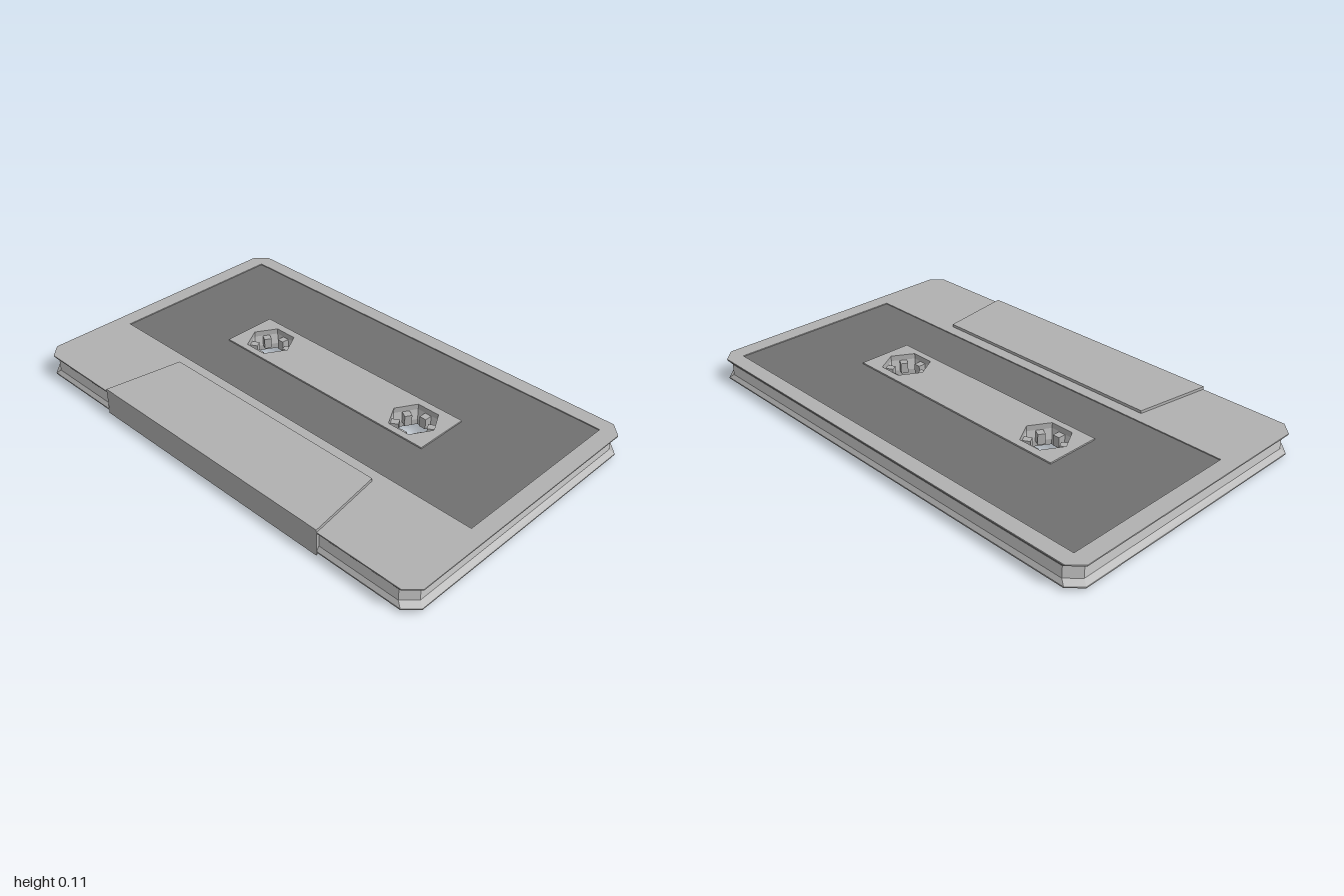
import * as THREE from 'three';

const HUB_X = 0.395, HUB_Z = -0.1, HUB_R = 0.1;
const MID_Y = 0.057; // middle of the thickness

const shellMat = new THREE.MeshStandardMaterial({ color: 0xb0b0b0, flatShading: true });
const wallMat = new THREE.MeshStandardMaterial({ color: 0xcccccc, flatShading: true });
const labelMat = new THREE.MeshStandardMaterial({ color: 0x707070, flatShading: true });

// Outlines are lists of [x, z], counter-clockwise seen from above
const rect = (x, zBack, zFront) => [[-x, zFront], [x, zFront], [x, zBack], [-x, zBack]];
const octagon = (s) => [
  [-0.95, 0.605], [0.95, 0.605], [1, 0.555], [1, -0.555],
  [0.95, -0.605], [-0.95, -0.605], [-1, -0.555], [-1, 0.555],
].map(([x, z]) => [x * s, z * s]);
const hexagon = (cx) => Array.from({ length: 6 }, (_, i) => {
  const a = i * Math.PI / 3;
  return [cx + HUB_R * Math.cos(a), HUB_Z - HUB_R * Math.sin(a)];
});
const hubHoles = [hexagon(-HUB_X), hexagon(HUB_X)];
const toPoints = (outline) => outline.map(([x, z]) => new THREE.Vector2(x, -z));

function mesh(name, geometry, material) {
  const m = new THREE.Mesh(geometry, material);
  m.name = name;
  return m;
}

// Horizontal plate with optional holes, from y0 to y1
function plate(name, outline, holes, y0, y1, material) {
  const shape = new THREE.Shape(toPoints(outline));
  holes.forEach((h) => shape.holes.push(new THREE.Path(toPoints(h))));
  const g = new THREE.ExtrudeGeometry(shape, { depth: y1 - y0, bevelEnabled: false });
  g.rotateX(-Math.PI / 2);
  g.translate(0, y0, 0);
  return mesh(name, g, material);
}

// Sloping band joining two outlines
function band(name, low, y0, high, y1, material) {
  const pos = [];
  low.forEach((p, i) => {
    const j = (i + 1) % low.length;
    const a = [p[0], y0, p[1]], b = [low[j][0], y0, low[j][1]];
    const c = [high[j][0], y1, high[j][1]], d = [high[i][0], y1, high[i][1]];
    pos.push(...a, ...b, ...c, ...a, ...c, ...d);
  });
  const g = new THREE.BufferGeometry();
  g.setAttribute('position', new THREE.Float32BufferAttribute(pos, 3));
  g.computeVertexNormals();
  return mesh(name, g, material);
}

// One face of the shell: flared rim, recessed label, raised window
function shellHalf(name) {
  const half = new THREE.Group();
  half.name = name;
  const labelArea = rect(0.93, -0.54, 0.23);
  const windowArea = rect(0.53, -0.22, 0.015);
  half.add(
    band('rimSlope', octagon(0.98), 0.081, octagon(1), 0.097, shellMat),
    plate('rim', octagon(1), [labelArea], 0.097, 0.102, shellMat),
    plate('label', labelArea, [windowArea], 0.081, 0.098, labelMat),
    plate('window', windowArea, hubHoles, 0.081, 0.104, shellMat),
  );
  return half;
}

// Six drive teeth around a hub hole
function hubTeeth(name, cx) {
  const hub = new THREE.Group();
  hub.name = name;
  hub.position.set(cx, MID_Y, HUB_Z);
  const inner = HUB_R * Math.cos(Math.PI / 6);
  for (let i = 0; i < 6; i++) {
    const g = new THREE.BoxGeometry(0.034, 0.045, 0.03);
    g.translate(inner - 0.015, 0, 0);
    g.rotateY(Math.PI / 6 + i * Math.PI / 3);
    hub.add(mesh('tooth', g, shellMat));
  }
  return hub;
}

export function createModel() {
  const model = new THREE.Group();
  model.name = 'cassette';

  // Core forming the groove around the edge
  model.add(plate('core', octagon(0.98), hubHoles, 0.033, 0.081, wallMat));

  // Both faces; the lower one is the upper turned over
  const bottom = shellHalf('bottomShell');
  bottom.rotation.z = Math.PI;
  bottom.position.y = 2 * MID_Y;
  model.add(shellHalf('topShell'), bottom);

  // Thicker head block at the front
  const block = [[-0.58, 0.607], [0.58, 0.607], [0.53, 0.28], [-0.53, 0.28]];
  model.add(plate('headBlock', block, [], 0, 2 * MID_Y, shellMat));

  model.add(hubTeeth('leftHub', HUB_X), hubTeeth('rightHub', -HUB_X));
  return model;
}
